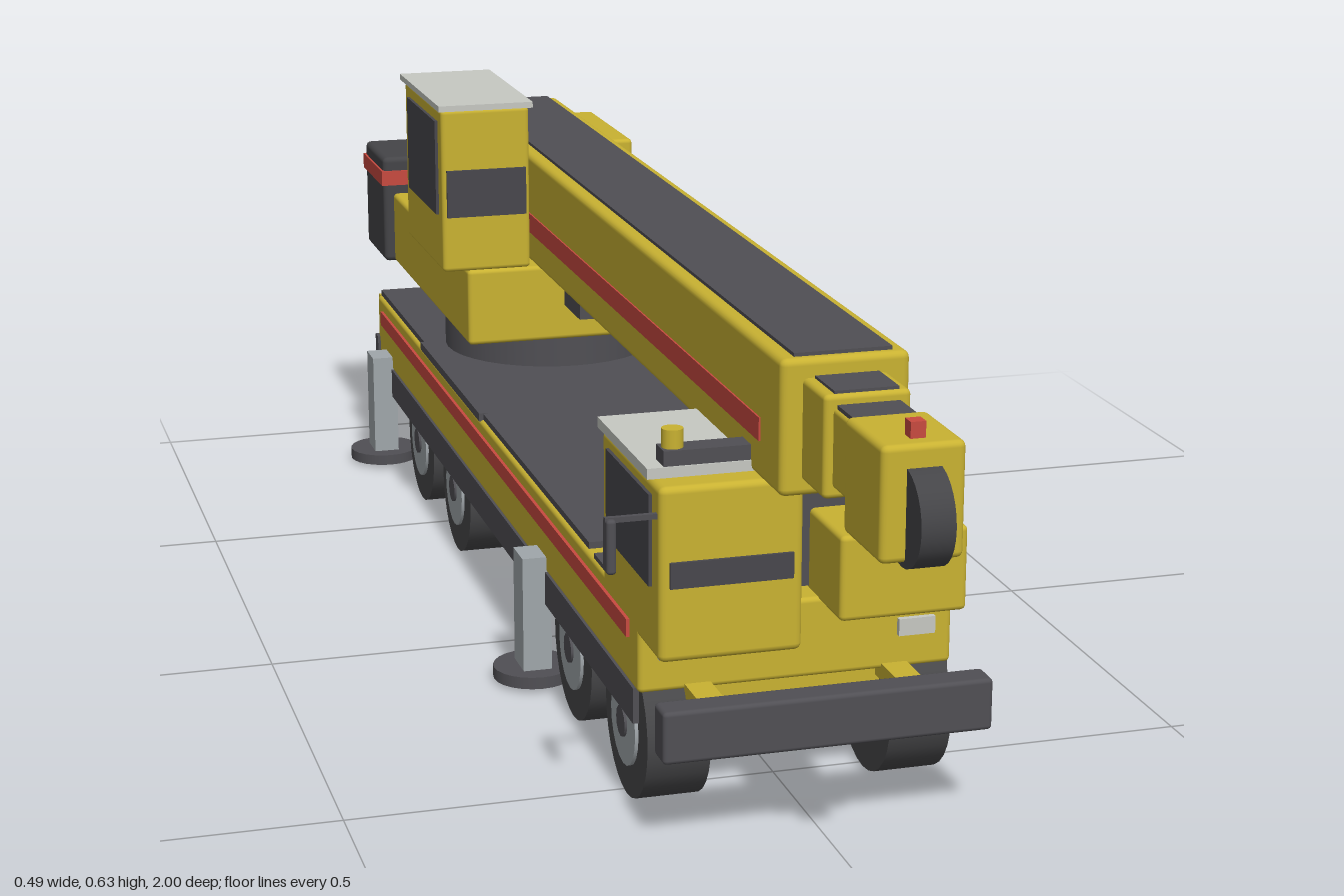
import * as THREE from 'three';
import { RoundedBoxGeometry } from 'three/addons/geometries/RoundedBoxGeometry.js';

const mat = (name, color) => {
  const m = new THREE.MeshStandardMaterial({ color });
  m.name = name;
  return m;
};

export function createModel() {
  const root = new THREE.Group();
  root.name = 'mobileCrane';
  const yellow = mat('yellow paint', 0xc9b232);
  const dark = mat('dark grey', 0x504f54);
  const charcoal = mat('charcoal', 0x454548);
  const rubber = mat('rubber', 0x474749);
  const glass = mat('dark glass', 0x48474d);
  const red = mat('red', 0xc84a40);
  const steel = mat('steel', 0xa0a6aa);
  const pale = mat('pale grey', 0xc6c8c2);

  const add = (name, geo, m, parent = root) => {
    const mesh = new THREE.Mesh(geo, m);
    mesh.name = name;
    parent.add(mesh);
    return mesh;
  };
  // Box given by its limits; r > 0 gives softened edges
  const box = (name, m, x0, x1, y0, y1, z0, z1, r = 0, parent = root) => {
    const [w, h, d] = [x1 - x0, y1 - y0, z1 - z0];
    const geo = r ? new RoundedBoxGeometry(w, h, d, 2, r) : new THREE.BoxGeometry(w, h, d);
    const mesh = add(name, geo, m, parent);
    mesh.position.set((x0 + x1) / 2, (y0 + y1) / 2, (z0 + z1) / 2);
    return mesh;
  };
  // Cylinder lying along x
  const axle = (name, m, r, x0, x1, y, z, parent = root, sides = 28) => {
    const mesh = add(name, new THREE.CylinderGeometry(r, r, x1 - x0, sides), m, parent);
    mesh.rotation.z = Math.PI / 2;
    mesh.position.set((x0 + x1) / 2, y, z);
    return mesh;
  };
  // Mirrored limits for the two sides
  const sides = (fn) => [-1, 1].forEach((s) => fn(s, (a, b) => (s > 0 ? [a, b] : [-b, -a])));

  // Chassis
  box('chassisBody', yellow, -0.183, 0.183, 0.145, 0.238, -0.908, 0.58, 0.006);
  box('chassisFloor', yellow, -0.178, 0.178, 0.108, 0.15, -0.88, 0.56);
  box('deckPlate', dark, -0.178, 0.178, 0.236, 0.246, -0.905, 0.35);
  sides((s, X) => {
    box('sideSkirt', dark, ...X(0.176, 0.185), 0.105, 0.147, -0.88, 0.565);
    box('chassisStripe', red, ...X(0.183, 0.187), 0.2, 0.221, -0.87, 0.545);
    box('deckEdge', dark, ...X(0.172, 0.184), 0.236, 0.247, -0.58, -0.2);
    box('deckStep', dark, ...X(0.1, 0.18), 0.236, 0.243, 0.38, 0.425);
    box('headlight', pale, ...X(0.118, 0.161), 0.185, 0.205, 0.578, 0.587);
    box('bumperBracket', yellow, ...X(0.1, 0.13), 0.132, 0.152, 0.56, 0.665);
    box('tailLamp', dark, ...X(0.165, 0.187), 0.145, 0.175, -0.915, -0.895);
  });
  box('frontBumper', dark, -0.188, 0.188, 0.108, 0.168, 0.66, 0.697, 0.005);

  // Rear board with warning stripes leaning to the centre
  box('rearBoard', yellow, -0.18, 0.18, 0.128, 0.238, -0.915, -0.905);
  sides((s) => {
    for (let i = 0; i < 3; i++) {
      const x = 0.02 + i * 0.052;
      const shape = new THREE.Shape([[x, 0.228], [x + 0.02, 0.228], [x + 0.07, 0.14], [x + 0.05, 0.14]]
        .map(([px, py]) => new THREE.Vector2(Math.min(px, 0.175) * s, py)));
      const stripe = add('warningStripe', new THREE.ExtrudeGeometry(shape, { depth: 0.004, bevelEnabled: false }), red);
      stripe.position.z = -0.919;
    }
  });

  // Wheels
  for (const z of [0.512, 0.272, -0.378, -0.618]) {
    sides((s, X) => {
      const wheel = new THREE.Group();
      wheel.name = 'wheel';
      root.add(wheel);
      axle('tyre', rubber, 0.088, ...X(0.105, 0.178), 0.088, z, wheel);
      axle('rim', steel, 0.051, ...X(0.11, 0.182), 0.088, z, wheel, 20);
      axle('hub', dark, 0.018, ...X(0.15, 0.185), 0.088, z, wheel, 12);
    });
  }

  // Outriggers
  for (const z of [0.138, -0.825]) {
    sides((s, X) => {
      box('outriggerLeg', steel, ...X(0.177, 0.213), 0.02, 0.166, z - 0.024, z + 0.024);
      const pad = add('outriggerPad', new THREE.CylinderGeometry(0.05, 0.05, 0.015, 24), dark);
      pad.position.set(0.195 * s, 0.0125, z);
    });
  }

  // Driving cab
  box('drivingCab', yellow, -0.183, -0.022, 0.211, 0.408, 0.43, 0.664, 0.008);
  box('drivingCabRoof', pale, -0.187, -0.022, 0.408, 0.42, 0.425, 0.63);
  box('windscreen', glass, -0.172, -0.034, 0.296, 0.325, 0.662, 0.668);
  box('drivingCabSideWindow', glass, -0.187, -0.181, 0.29, 0.393, 0.46, 0.635);
  box('lightBar', dark, -0.168, -0.06, 0.42, 0.437, 0.598, 0.628);
  const beacon = add('beacon', new THREE.CylinderGeometry(0.012, 0.012, 0.022, 16), yellow);
  beacon.position.set(-0.154, 0.447, 0.612);
  box('mirrorArm', dark, -0.24, -0.18, 0.372, 0.378, 0.65, 0.656);
  box('mirror', dark, -0.24, -0.229, 0.316, 0.377, 0.643, 0.663, 0.004);

  // Engine housing and boom rest
  box('engineHousing', yellow, 0.025, 0.172, 0.233, 0.331, 0.43, 0.651, 0.006);
  box('boomRest', dark, -0.015, 0.115, 0.24, 0.406, 0.516, 0.545);
  box('boomRestLug', dark, 0.073, 0.115, 0.4, 0.433, 0.516, 0.545);

  // Turntable and slewing house
  const ring = add('turntable', new THREE.CylinderGeometry(0.15, 0.15, 0.06, 36), dark);
  ring.position.set(0, 0.272, -0.55);
  box('slewingHouse', yellow, -0.165, 0.165, 0.302, 0.407, -0.86, -0.34, 0.006);
  box('winchHousing', yellow, 0.01, 0.15, 0.4, 0.514, -0.872, -0.642, 0.006);
  box('liftBracket', dark, -0.04, 0.04, 0.36, 0.408, -0.302, -0.22);
  axle('winchDrum', steel, 0.042, -0.09, 0.01, 0.446, -0.835);
  for (const x of [-0.094, 0.006]) axle('winchFlange', dark, 0.048, x, x + 0.008, 0.446, -0.835);
  axle('boomPivot', dark, 0.062, -0.086, 0.086, 0.463, -0.735);

  // Operator cab
  box('operatorCab', yellow, -0.198, -0.077, 0.406, 0.628, -0.583, -0.342, 0.006);
  box('operatorCabRoof', pale, -0.202, -0.073, 0.627, 0.635, -0.597, -0.337);
  box('operatorFrontWindow', glass, -0.192, -0.083, 0.482, 0.546, -0.344, -0.338);
  box('operatorSideWindow', glass, -0.202, -0.196, 0.482, 0.61, -0.55, -0.365);

  // Counterweight with stripe
  box('counterweight', charcoal, -0.18, 0.18, 0.302, 0.462, -0.997, -0.855, 0.008);
  box('counterweightStripe', red, -0.183, 0.183, 0.42, 0.442, -1, -0.852);

  // Telescopic boom
  const boom = new THREE.Group();
  boom.name = 'boom';
  root.add(boom);
  box('boomMain', yellow, -0.071, 0.071, 0.407, 0.556, -0.78, 0.727, 0.008, boom);
  box('boomTopPlate', dark, -0.054, 0.054, 0.553, 0.56, -0.77, 0.717, 0, boom);
  box('boomMiddle', yellow, -0.047, 0.047, 0.424, 0.535, 0.7, 0.795, 0.006, boom);
  box('boomMiddlePlate', dark, -0.035, 0.035, 0.533, 0.538, 0.73, 0.79, 0, boom);
  box('boomInner', yellow, -0.037, 0.037, 0.436, 0.521, 0.78, 0.86, 0.005, boom);
  box('boomInnerPlate', dark, -0.034, 0.034, 0.518, 0.525, 0.797, 0.845, 0, boom);
  box('boomHead', yellow, -0.044, 0.044, 0.407, 0.528, 0.847, 0.957, 0.007, boom);
  axle('headPulley', charcoal, 0.052, -0.018, 0.018, 0.453, 0.948, boom);
  box('tipLight', red, -0.008, 0.008, 0.526, 0.545, 0.922, 0.938, 0, boom);
  sides((s, X) => box('boomStripe', red, ...X(0.069, 0.073), 0.45, 0.476, -0.64, 0.66, 0, boom));

  return root;
}
